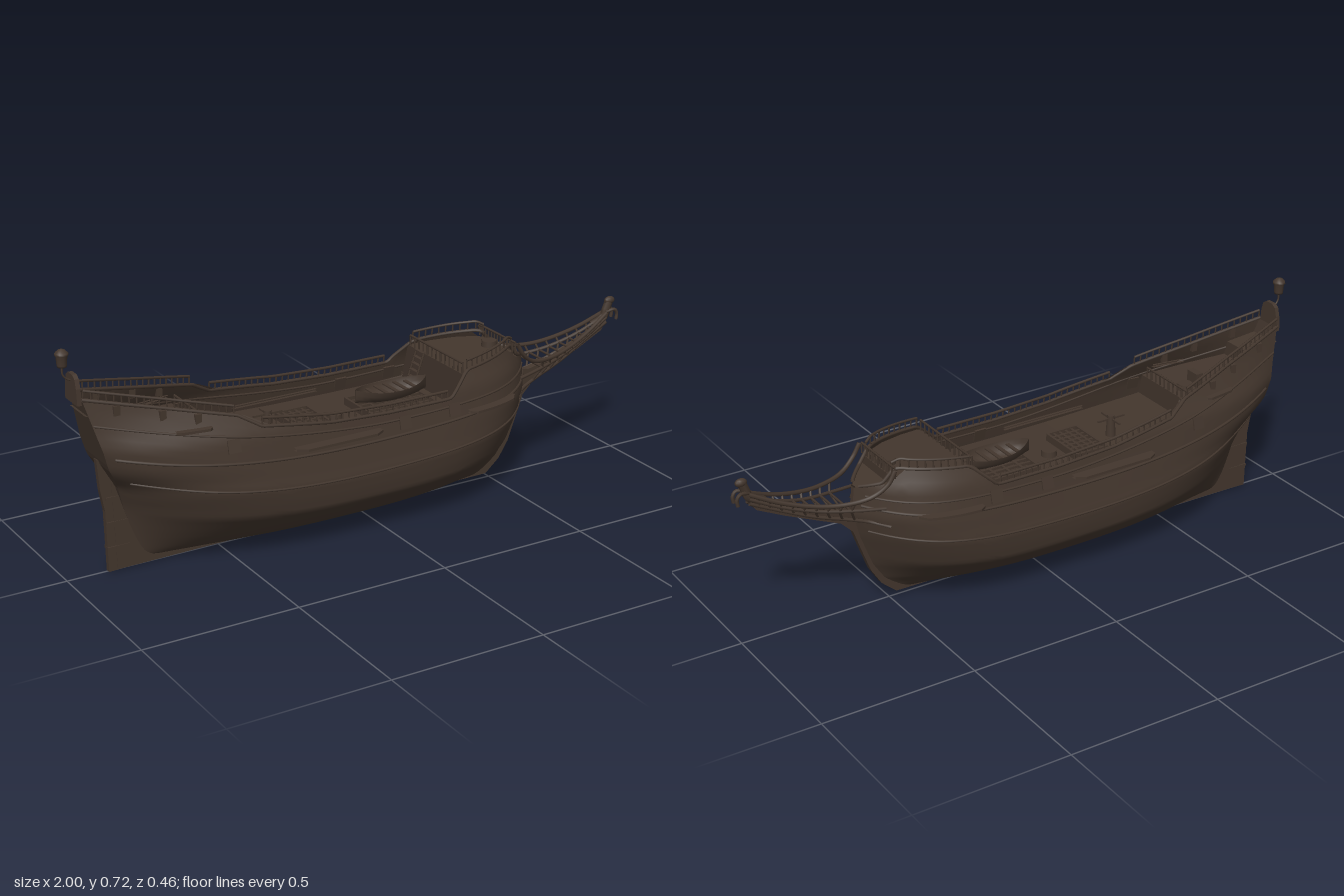
import * as THREE from 'three';
import { mergeGeometries } from 'three/addons/utils/BufferGeometryUtils.js';

const V = (x, y, z) => new THREE.Vector3(x, y, z);
const lerp = THREE.MathUtils.lerp;

// Piecewise-linear table lookup
function table(pts, x) {
  if (x <= pts[0][0]) return pts[0][1];
  for (let i = 1; i < pts.length; i++) {
    const [a, va] = pts[i - 1], [b, vb] = pts[i];
    if (x <= b) return lerp(va, vb, (x - a) / (b - a));
  }
  return pts[pts.length - 1][1];
}

// Hull lines: widths, fullness and end rakes by height, sheer by length
const WIDTH = [[0.024, 0.03], [0.03, 0.062], [0.04, 0.093], [0.053, 0.117], [0.07, 0.142], [0.09, 0.164], [0.14, 0.212], [0.18, 0.219], [0.227, 0.224], [0.25, 0.217], [0.34, 0.198], [0.41, 0.185], [0.5, 0.147], [0.6, 0.115]];
const STERN_W = [[0.2, 0.06], [0.28, 0.15], [0.34, 0.35], [0.42, 0.44], [0.5, 0.42], [0.6, 0.35]];
const STERN_P = [[0.04, 2.6], [0.12, 3.3], [0.25, 4.2], [0.4, 4], [0.52, 2.3]];
const BOW_P = [[0.05, 2.6], [0.15, 4], [0.35, 5.5], [0.5, 6]];
const STERN_X = [[0.03, -0.76], [0.28, -0.84], [0.36, -0.885], [0.6, -0.95]];
const BOW_X = [[0.03, 0.47], [0.08, 0.525], [0.14, 0.56], [0.25, 0.6], [0.33, 0.62], [0.42, 0.61], [0.5, 0.58]];
const SHEER = [[-0.95, 0.58], [-0.5, 0.475], [-0.43, 0.435], [-0.2, 0.405], [0, 0.395], [0.22, 0.395], [0.3, 0.465], [0.51, 0.485], [0.55, 0.44], [0.62, 0.415]];
// How far the knuckle lines sweep up towards the ends
const SWEEP = [[0.03, 0], [0.19, 0.055], [0.32, 0.085], [0.45, 0]];
const sheer = x => table(SHEER, x);

function halfAt(u, y) {
  const aft = u < 0.55;
  const v = aft ? 1 - u / 0.55 : (u - 0.55) / 0.45;
  const end = aft ? table(STERN_W, y) : 0.04;
  const p = table(aft ? STERN_P : BOW_P, y);
  const sweep = table(SWEEP, y) * v * v * (aft ? 1 : 0.7);
  return table(WIDTH, y - sweep) * (end + (1 - end) * (1 - Math.pow(v, p)));
}
function half(x, y) {
  const a = table(STERN_X, y), b = table(BOW_X, y);
  return halfAt(THREE.MathUtils.clamp((x - a) / (b - a), 0, 1), y);
}

// Surface through rows of points
function loft(rows, flat) {
  const n = rows[0].length, index = [];
  for (let i = 0; i + 1 < rows.length; i++)
    for (let j = 0; j + 1 < n; j++) {
      const a = i * n + j, b = a + n;
      index.push(a, b, a + 1, a + 1, b, b + 1);
    }
  let g = new THREE.BufferGeometry().setFromPoints(rows.flat());
  g.setIndex(index);
  if (flat) g = g.toNonIndexed();
  g.computeVertexNormals();
  return g;
}

export function createModel() {
  const ship = new THREE.Group();
  ship.name = 'ship';
  const wood = new THREE.MeshStandardMaterial({ color: 0x43362d, side: THREE.DoubleSide });
  wood.name = 'dark wood';
  const add = (name, geo, x = 0, y = 0, z = 0) => {
    const m = new THREE.Mesh(geo, wood);
    m.name = name;
    m.position.set(x, y, z);
    ship.add(m);
    return m;
  };
  const box = (name, w, h, d, x, y, z) => add(name, new THREE.BoxGeometry(w, h, d), x, y, z);
  const tubeGeo = (pts, r, seg = 24) => new THREE.TubeGeometry(new THREE.CatmullRomCurve3(pts), seg, r, 6);
  const bar = (a, b, r) => new THREE.TubeGeometry(new THREE.LineCurve3(a, b), 1, r, 5);
  const plate = (name, pts, t) => {
    const s = new THREE.Shape(pts.map(p => new THREE.Vector2(...p)));
    return add(name, new THREE.ExtrudeGeometry(s, { depth: t, bevelEnabled: false }), 0, 0, -t / 2);
  };
  const path = (x0, x1, n, yf) => Array.from({ length: n + 1 }, (_, i) => {
    const x = lerp(x0, x1, i / n), y = yf(x);
    return V(x, y, half(x, y));
  });
  const flip = s => p => V(p.x, p.y, p.z * s);

  // Hull shell and flat end panels
  const N = 36, M = 90, rows = [];
  for (let i = 0; i <= M; i++) {
    const u = i / M, top = sheer(lerp(-0.95, 0.62, u)), row = [];
    for (let j = -N; j <= N; j++) {
      const y = lerp(0.024, top, Math.pow(Math.abs(j) / N, 1.6));
      row.push(V(lerp(table(STERN_X, y), table(BOW_X, y), u), y, Math.sign(j) * halfAt(u, y)));
    }
    rows.push(row);
  }
  add('hull', loft(rows));
  for (const [name, r] of [['transom', rows[0]], ['bowPanel', rows[M]]])
    add(name, loft([r.slice(N), r.slice(0, N + 1).reverse()], true));

  // Decks with the bulkheads between their levels
  const deckLine = [[-0.94, 0.53], [-0.84, 0.505], [-0.84, 0.455], [-0.7, 0.435], [-0.56, 0.42], [-0.56, 0.35], [-0.4, 0.338], [-0.2, 0.33], [0, 0.328], [0.15, 0.328], [0.285, 0.332], [0.285, 0.452], [0.36, 0.456], [0.44, 0.46], [0.5, 0.462], [0.525, 0.46], [0.525, 0.43], [0.575, 0.415], [0.6, 0.41]];
  add('decks', loft(deckLine.map(([x, y]) => {
    const z = half(x, y) - 0.002;
    return [V(x, y, -z), V(x, y, z)];
  }), true));
  const deckY = x => table(deckLine, x);

  // Keel with stem, and rudder
  plate('keelAndStem', [[-0.84, 0.006], [0.48, 0.022], [0.53, 0.065], [0.565, 0.12], [0.595, 0.2], [0.62, 0.27], [0.66, 0.31], [0.74, 0.345], [0.84, 0.39], [0.93, 0.435], [0.95, 0.465],
    [0.84, 0.415], [0.74, 0.375], [0.64, 0.355], [0.6, 0.36], [0.58, 0.25], [0.53, 0.13], [0.47, 0.05], [-0.72, 0.04], [-0.82, 0.3], [-0.85, 0.3]], 0.022);
  plate('rudder', [[-0.868, 0.003], [-0.8, 0.006], [-0.842, 0.3], [-0.87, 0.36], [-0.893, 0.37], [-0.885, 0.27], [-0.872, 0.2]], 0.018);
  for (const y of [0.08, 0.16, 0.24]) box('rudderHinge', 0.07, 0.008, 0.026, -0.835, y, 0);

  const lift = x => (x < -0.1 ? 1 : 0.7) * ((x + 0.1) / 0.74) ** 2;
  for (const s of [1, -1]) {
    // Wales and sheer cap
    const wale = (name, x0, x1, yf, r) => add(name, tubeGeo(path(x0, x1, 36, yf).map(flip(s)), r, 90));
    wale('lowerWale', -0.82, 0.585, x => 0.228 + 0.08 * lift(x), 0.004);
    wale('upperWale', -0.87, 0.6, x => 0.318 + 0.07 * lift(x), 0.005);
    wale('topMoulding', -0.92, 0.59, x => 0.367 + 0.15 * Math.max(0, -x) ** 1.6 + 0.08 * Math.max(0, x) ** 2, 0.004);
    add('sheerCap', tubeGeo(path(-0.945, 0.6, 90, sheer).map(flip(s)), 0.006, 150));

    // Open balustrades on the bulwarks
    for (const [x0, x1, h] of [[-0.94, -0.51, 0.028], [-0.43, 0.21, 0.026], [0.3, 0.52, 0.03]]) {
      const n = Math.round((x1 - x0) / 0.022), foot = path(x0, x1, n, sheer).map(flip(s));
      const head = foot.map(p => V(p.x, p.y + h, p.z * 0.985));
      const parts = foot.map((p, i) => bar(p, head[i], 0.0028));
      parts.push(tubeGeo(head, 0.0045, 50));
      add('balustrade', mergeGeometries(parts));
    }

    // Channels, gun ports and small cleats on the sides
    for (const [x, w, y, out] of [[-0.19, 0.3, 0.352, 0.036], [0.38, 0.2, 0.345, 0.03], [-0.64, 0.11, 0.455, 0.018]]) {
      const pts = path(x - w / 2, x + w / 2, 10, () => y), r = [];
      for (const dy of [-0.004, 0.004]) {
        const inner = pts.map(p => V(p.x, y + dy, (p.z - 0.01) * s));
        const outer = pts.map((p, i) => V(p.x, y + dy, (p.z + (i % 10 ? out : out * 0.5)) * s));
        r.push(...(dy < 0 ? [inner, outer] : [outer, inner]));
      }
      add('channel', loft(r, true));
    }
    for (const [x, y] of [[-0.53, 0.395], [0.05, 0.355], [0.23, 0.36]]) {
      const m = box('gunPort', 0.04, 0.04, 0.01, x, y, s * half(x, y));
      m.rotation.x = -s * 0.25;
      m.rotation.y = s * Math.atan2(half(x - 0.02, y) - half(x + 0.02, y), 0.04);
    }
    for (const x of [-0.85, -0.72, -0.62]) box('cleat', 0.02, 0.03, 0.012, x, sheer(x) - 0.02, s * half(x, sheer(x) - 0.02));

    // Beakhead rails with their struts, springing from the bow planking
    const onHull = (x, y) => V(x, y, half(x, y));
    const rails = [
      [V(0.525, 0.49, 0.108), V(0.55, 0.45, 0.107), V(0.6, 0.416, 0.093), V(0.68, 0.406, 0.074), V(0.76, 0.416, 0.055), V(0.86, 0.447, 0.031), V(0.95, 0.49, 0.009)],
      [onHull(0.55, 0.365), V(0.64, 0.375, 0.072), V(0.75, 0.393, 0.045), V(0.86, 0.43, 0.022), V(0.95, 0.475, 0.009)],
      [onHull(0.54, 0.305), onHull(0.58, 0.313), V(0.64, 0.332, 0.044), V(0.75, 0.367, 0.028), V(0.86, 0.415, 0.014), V(0.95, 0.46, 0.009)]
    ].map(r => r.map(flip(s)));
    rails.forEach((r, i) => add('beakheadRail', tubeGeo(r, i ? 0.006 : 0.007, 30)));
    const curves = rails.map(r => new THREE.CatmullRomCurve3(r));
    const struts = [];
    for (let t = 0.25; t < 0.95; t += 0.085) {
      const [a, b, c] = curves.map((k, i) => k.getPointAt(i ? t : 0.1 + 0.9 * t));
      struts.push(bar(a, b, 0.004), bar(b, c, 0.004), bar(b, V(b.x, b.y, 0), 0.004));
    }
    add('beakheadStruts', mergeGeometries(struts));
  }

  // Ladders up to the raised decks: foot x, head x, z
  for (const [x0, x1, z] of [[0.24, 0.283, -0.085], [-0.52, -0.558, -0.07], [-0.81, -0.838, -0.045]]) {
    const dir = Math.sign(x1 - x0), y0 = deckY(x0), y1 = deckY(x1 + dir * 0.01), steps = 6;
    for (let i = 1; i <= steps; i++) box('ladderStep', 0.012, 0.005, 0.045, lerp(x0, x1, i / steps), lerp(y0, y1, i / steps), z);
    for (const e of [-0.022, 0.022]) add('ladderSide', bar(V(x0, y0, z + e), V(x1, y1, z + e), 0.004));
  }

  // Rails closing the deck breaks
  for (const [x, y, w] of [[0.288, 0.452, 0.15], [-0.562, 0.42, 0.14], [0.522, 0.46, 0.1]]) {
    const parts = [bar(V(x, y + 0.035, -w), V(x, y + 0.035, w), 0.004)];
    for (let i = 0; i <= 12; i++) parts.push(bar(V(x, y, lerp(-w, w, i / 12)), V(x, y + 0.035, lerp(-w, w, i / 12)), 0.003));
    add('deckBreakRail', mergeGeometries(parts));
  }

  // Figurehead
  add('figureheadBody', tubeGeo([V(0.9, 0.455, 0), V(0.945, 0.475, 0), V(0.955, 0.5, 0), V(0.965, 0.525, 0)], 0.014));
  add('figureheadHead', new THREE.SphereGeometry(0.015, 12, 8), 0.968, 0.53, 0).scale.set(1.3, 0.9, 0.8);
  for (const s of [1, -1])
    add('figureheadLeg', tubeGeo([V(0.95, 0.495, 0.008 * s), V(0.98, 0.5, 0.014 * s), V(0.99, 0.485, 0.014 * s), V(0.988, 0.465, 0.014 * s)], 0.006, 10));

  // Rounded stern crest and lantern
  const crest = new THREE.Shape([[-0.042, 0.56], [0.042, 0.56], [0.038, 0.61], [0.03, 0.638], [0.015, 0.648], [-0.015, 0.648], [-0.03, 0.638], [-0.038, 0.61]].map(p => new THREE.Vector2(...p)));
  add('sternCrest', new THREE.ExtrudeGeometry(crest, { depth: 0.014, bevelEnabled: false }), -0.957, 0, 0).rotation.y = Math.PI / 2;
  add('lanternBracket', tubeGeo([V(-0.95, 0.625, 0), V(-0.97, 0.635, 0), V(-0.98, 0.65, 0), V(-0.98, 0.68, 0)], 0.003));
  const profile = [[0, 0.672], [0.014, 0.672], [0.015, 0.678], [0.017, 0.704], [0.021, 0.708], [0.02, 0.714], [0.011, 0.723], [0, 0.727]];
  add('lantern', new THREE.LatheGeometry(profile.map(p => new THREE.Vector2(...p)), 10), -0.98, 0, 0);

  // Hatches with gratings
  for (const [x, w, d] of [[-0.19, 0.11, 0.17], [0.12, 0.23, 0.17]]) {
    const y = deckY(x) + 0.012;
    for (const s of [1, -1]) {
      box('hatchCoaming', w, 0.024, 0.008, x, y, s * d / 2);
      box('hatchCoaming', 0.008, 0.024, d, x + s * w / 2, y, 0);
    }
    for (let i = 1; i < 7; i++) box('gratingBar', w, 0.008, 0.008, x, y + 0.004, (i / 7 - 0.5) * d);
    for (let i = 1; i < 5; i++) box('gratingBar', 0.008, 0.008, d, x + (i / 5 - 0.5) * w, y + 0.004, 0);
  }

  // Ship's boat with thwarts
  const boat = [];
  for (let i = 0; i <= 16; i++) {
    const k = i / 8 - 1, w = 0.05 * (1 - Math.abs(k) ** 2.5) + 0.002;
    boat.push(Array.from({ length: 9 }, (_, j) => {
      const a = Math.PI * j / 8;
      return V(0.12 + 0.13 * k, 0.395 + 0.012 * k * k - 0.042 * Math.sin(a), -w * Math.cos(a));
    }));
  }
  add('boat', loft(boat));
  for (const k of [-0.07, -0.035, 0, 0.035, 0.07]) box('boatThwart', 0.012, 0.004, 0.085 - 5 * k * k, 0.12 + k, 0.39, 0);

  // Mast collars, capstan and binnacle
  for (const x of [-0.61, -0.085, 0.49]) add('mastCollar', new THREE.CylinderGeometry(0.024, 0.026, 0.02, 16), x, deckY(x) + 0.008, 0);
  add('capstan', new THREE.CylinderGeometry(0.012, 0.017, 0.07, 10), -0.32, deckY(-0.32) + 0.035, 0);
  for (const r of [0, Math.PI / 2]) box('capstanBar', 0.1, 0.006, 0.006, -0.32, deckY(-0.32) + 0.058, 0).rotation.y = r;
  box('binnacle', 0.025, 0.05, 0.05, -0.65, deckY(-0.65) + 0.02, 0);
  return ship;
}
